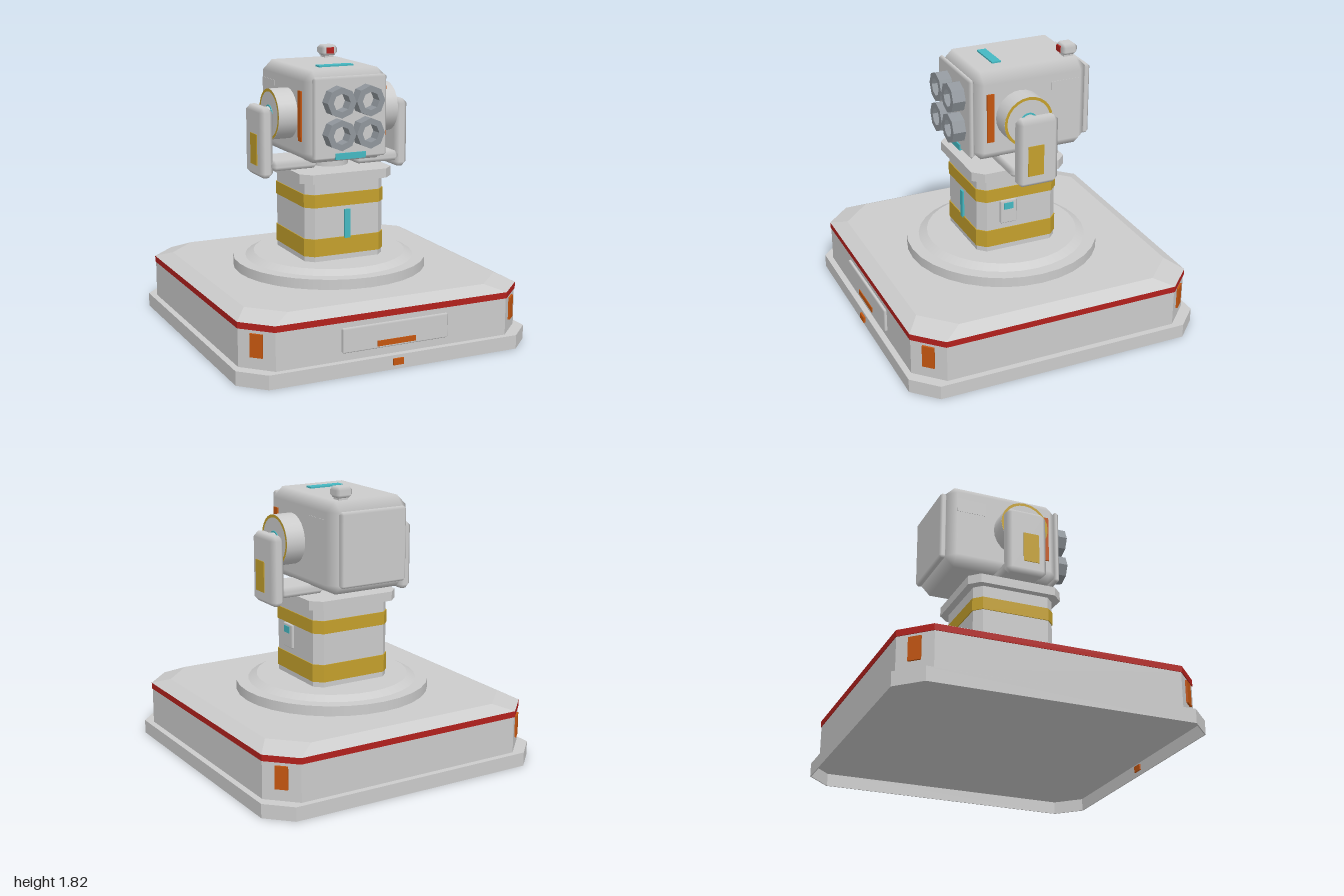
import * as THREE from 'three';
import { ConvexGeometry } from 'three/addons/geometries/ConvexGeometry.js';

const paint = (color) => new THREE.MeshStandardMaterial({ color });
const GREY = paint(0xcccccc), RED = paint(0xb3201c), YELLOW = paint(0xc4a02c);
const ORANGE = paint(0xc4560f), CYAN = paint(0x45b8c2), STEEL = paint(0x90969c);

// Square outline with cut corners
function octagon(half, cut) {
  const a = half, b = half - cut;
  return [[a, -b], [a, b], [b, a], [-b, a], [-a, b], [-a, -b], [-b, -a], [b, -a]]
    .map(([x, y]) => new THREE.Vector2(x, y));
}

export function createModel() {
  const model = new THREE.Group();
  const cz = -0.007; // centre line of the base and column

  function add(name, geometry, material = GREY, x = 0, y = 0, z = 0) {
    const mesh = new THREE.Mesh(geometry, material);
    mesh.name = name;
    mesh.position.set(x, y, z);
    model.add(mesh);
    return mesh;
  }

  // Box given by its limits on each axis
  function box(name, [x0, x1], [y0, y1], [z0, z1], material) {
    return add(name, new THREE.BoxGeometry(x1 - x0, y1 - y0, z1 - z0), material,
      (x0 + x1) / 2, (y0 + y1) / 2, (z0 + z1) / 2);
  }

  // Upright solid between two cut-corner squares
  function prism(name, half, cut, y0, y1, material, topHalf = half, topCut = cut) {
    const points = [
      ...octagon(half, cut).map((p) => new THREE.Vector3(p.x, y0, p.y)),
      ...octagon(topHalf, topCut).map((p) => new THREE.Vector3(p.x, y1, p.y)),
    ];
    return add(name, new ConvexGeometry(points), material, 0, 0, cz);
  }

  // Box with bevelled edges: flat faces, shading blended over the bevels
  function bevelBox(name, xs, ys, zs, bevel, material) {
    const half = [xs, ys, zs].map(([a, b]) => (b - a) / 2);
    const mid = [xs, ys, zs].map(([a, b]) => (a + b) / 2);
    const points = [];
    for (let axis = 0; axis < 3; axis++) {
      for (const sx of [-1, 1]) for (const sy of [-1, 1]) for (const sz of [-1, 1]) {
        const c = [sx, sy, sz].map((s, k) => s * (half[k] - (k === axis ? 0 : bevel)));
        points.push(new THREE.Vector3(...c));
      }
    }
    const g = new ConvexGeometry(points);
    const { position, normal } = g.attributes;
    for (let i = 0; i < position.count; i++) {
      const c = [position.getX(i), position.getY(i), position.getZ(i)];
      normal.setXYZ(i, ...c.map((v, k) => (Math.abs(v) > half[k] - bevel / 2 ? Math.sign(v) : 0)));
    }
    return add(name, g, material, ...mid);
  }

  // Base: a skirt open underneath, a deck, then the body
  const skirt = new THREE.Shape(octagon(0.993, 0.15));
  skirt.holes.push(new THREE.Path(octagon(0.987, 0.148)));
  const skirtGeometry = new THREE.ExtrudeGeometry(skirt, { depth: 0.085, bevelEnabled: false });
  add('baseSkirt', skirtGeometry.rotateX(-Math.PI / 2), GREY, 0, 0, cz);
  prism('baseDeck', 0.993, 0.15, 0.083, 0.09);
  prism('baseBody', 0.953, 0.17, 0.09, 0.33);
  prism('redTrim', 0.957, 0.17, 0.33, 0.37, RED);
  prism('baseLid', 0.957, 0.17, 0.37, 0.415, GREY, 0.868, 0.2);
  bevelBox('frontHatch', [-0.36, 0.36], [0.14, 0.295], [0.93, 0.965], 0.008);
  box('hatchMarker', [-0.13, 0.13], [0.155, 0.19], [0.955, 0.97], ORANGE);
  box('frontLamp', [-0.035, 0.035], [0.03, 0.07], [0.97, 1], ORANGE);
  for (const sx of [-1, 1]) for (const sz of [-1, 1]) {
    const lamp = add('cornerLamp', new THREE.BoxGeometry(0.08, 0.145, 0.02), ORANGE,
      sx * 0.87, 0.237, sz * 0.87 + cz);
    lamp.rotation.y = sx * sz * Math.PI / 4;
  }

  // Turntable
  add('turntableRing', new THREE.CylinderGeometry(0.635, 0.635, 0.065, 32), GREY, 0, 0.4475, cz);
  add('turntableCone', new THREE.CylinderGeometry(0.5, 0.555, 0.03, 32), GREY, 0, 0.495, cz);

  // Column
  prism('column', 0.275, 0.05, 0.5, 1.03);
  prism('lowerBand', 0.281, 0.053, 0.545, 0.66, YELLOW);
  prism('upperBand', 0.281, 0.053, 0.865, 0.95, YELLOW);
  prism('columnCap', 0.322, 0.065, 1.03, 1.09);
  box('columnLight', [-0.02, 0.02], [0.65, 0.84], [0.26, 0.28], CYAN);
  bevelBox('controlPanel', [0.265, 0.293], [0.7, 0.86], [0.012, 0.13], 0.008);
  box('panelScreen', [0.285, 0.297], [0.8, 0.845], [0.04, 0.105], CYAN);
  add('neck', new THREE.CylinderGeometry(0.125, 0.125, 0.1, 16), GREY, 0, 1.13, cz);

  // Head
  bevelBox('head', [-0.291, 0.291], [1.152, 1.737], [-0.485, 0.302], 0.065);
  bevelBox('frontPlate', [-0.255, 0.255], [1.178, 1.702], [0.285, 0.322], 0.015);
  bevelBox('backPlate', [-0.238, 0.238], [1.205, 1.678], [-0.518, -0.47], 0.015);
  box('chinLight', [-0.108, 0.102], [1.178, 1.218], [0.31, 0.33], CYAN);
  box('topLight', [-0.12, 0.12], [1.725, 1.747], [0.05, 0.11], CYAN);

  // Octagonal launch tubes, open at the front
  const ring = (r) => Array.from({ length: 8 }, (_, i) =>
    new THREE.Vector2(r * Math.cos(i * Math.PI / 4), r * Math.sin(i * Math.PI / 4)));
  const tube = new THREE.Shape(ring(0.098));
  tube.holes.push(new THREE.Path(ring(0.058)));
  const tubeGeometry = new THREE.ExtrudeGeometry(tube, { depth: 0.09, bevelEnabled: false });
  for (const x of [-0.1, 0.1]) for (const y of [1.345, 1.55]) {
    add('launchTube', tubeGeometry, STEEL, x, y, 0.316);
  }

  // Beacon on the roof
  box('beaconStem', [0.13, 0.195], [1.72, 1.76], [-0.415, -0.35]);
  bevelBox('beacon', [0.105, 0.22], [1.75, 1.82], [-0.437, -0.33], 0.02);
  box('beaconLens', [0.135, 0.187], [1.765, 1.805], [-0.345, -0.325], RED);

  // Shoulders and side arms, mirrored
  for (const s of [-1, 1]) {
    const span = (a, b) => (s > 0 ? [a, b] : [-b, -a]);
    const disc = (name, r, x0, x1, material) => {
      const g = new THREE.CylinderGeometry(r, r, x1 - x0, 24).rotateZ(Math.PI / 2);
      add(name, g, material, s * (x0 + x1) / 2, 1.443, -0.003);
    };
    disc('shoulder', 0.163, 0.27, 0.42);
    disc('shoulderLight', 0.06, 0.41, 0.426, CYAN);
    disc('axle', 0.05, 0.41, 0.46);
    const rim = new THREE.RingGeometry(0.145, 0.163, 24).rotateY(s * Math.PI / 2);
    add('shoulderRim', rim, YELLOW, s * 0.4215, 1.443, -0.003);
    bevelBox('armPaddle', span(0.432, 0.525), [1.045, 1.497], [-0.165, 0.108], 0.03);
    box('paddleStripe', span(0.515, 0.53), [1.125, 1.325], [-0.058, 0.048], YELLOW);
    bevelBox('lowerStrut', span(0.135, 0.45), [1.092, 1.158], [-0.15, 0.13], 0.025);
    box('sideStripe', span(0.28, 0.3), [1.29, 1.61], [0.175, 0.222], ORANGE);
    box('ventPanel', span(0.28, 0.293), [1.53, 1.625], [-0.42, -0.22]);
  }
  return model;
}
